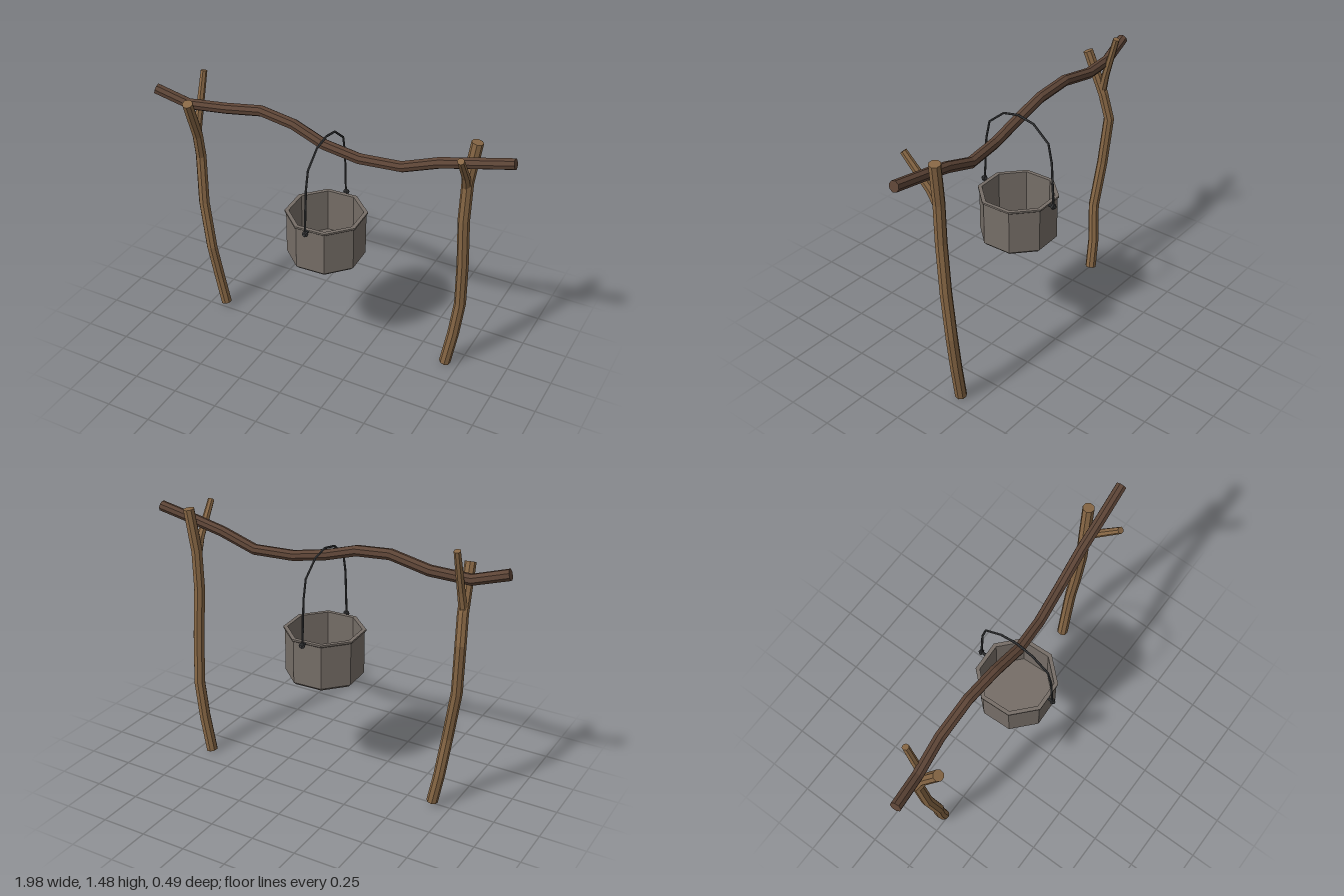
import * as THREE from 'three';

const mat = (name, color) => {
  const m = new THREE.MeshStandardMaterial({ color });
  m.name = name;
  m.flatShading = true;
  return m;
};

// Capped, faceted sweep along a polyline, tapering from r0 to r1
function sweep(points, r0, r1, sides) {
  const pts = points.map(p => new THREE.Vector3(...p));
  const n = pts.length, pos = [], idx = [];
  const dirs = pts.map((p, i) => {
    const a = pts[Math.max(i - 1, 0)], b = pts[Math.min(i + 1, n - 1)];
    return b.clone().sub(a).normalize();
  });
  const u = new THREE.Vector3(0.3, 0.2, 1);
  if (Math.abs(dirs[0].z) > 0.8) u.set(1, 0, 0);
  pts.forEach((p, i) => {
    u.addScaledVector(dirs[i], -u.dot(dirs[i])).normalize();
    const v = new THREE.Vector3().crossVectors(dirs[i], u);
    const r = r0 + (r1 - r0) * i / (n - 1);
    for (let s = 0; s < sides; s++) {
      const a = s / sides * Math.PI * 2;
      const q = p.clone().addScaledVector(u, Math.cos(a) * r).addScaledVector(v, Math.sin(a) * r);
      pos.push(q.x, q.y, q.z);
    }
  });
  for (let i = 0; i < n - 1; i++) {
    for (let s = 0; s < sides; s++) {
      const a = i * sides + s, b = i * sides + (s + 1) % sides;
      idx.push(a, b, a + sides, b, b + sides, a + sides);
    }
  }
  const last = (n - 1) * sides;
  for (let s = 1; s < sides - 1; s++) {
    idx.push(0, s + 1, s, last, last + s, last + s + 1);
  }
  const g = new THREE.BufferGeometry();
  g.setAttribute('position', new THREE.Float32BufferAttribute(pos, 3));
  g.setIndex(idx);
  const flat = g.toNonIndexed();
  flat.computeVertexNormals();
  return flat;
}

export function createModel() {
  const model = new THREE.Group();
  model.name = 'campfirePotStand';
  const bark = mat('light wood', 0x876745);
  const darkBark = mat('dark wood', 0x5c4436);
  const iron = mat('pot metal', 0x766e67);
  const wire = mat('dark iron', 0x3d3e40);

  const add = (name, geometry, material, parent = model) => {
    const m = new THREE.Mesh(geometry, material);
    m.name = name;
    parent.add(m);
    return m;
  };

  // Forked posts: a crooked trunk with a short prong each
  add('rightPost', sweep([
    [-0.655, 0.03, -0.02], [-0.685, 0.2, -0.012], [-0.71, 0.42, 0.012], [-0.755, 0.7, -0.005],
    [-0.77, 0.98, -0.026], [-0.757, 1.13, 0.012], [-0.74, 1.365, 0.11]
  ], 0.031, 0.029, 8), bark);
  add('rightPostProng', sweep([
    [-0.757, 1.14, 0.02], [-0.75, 1.25, -0.005], [-0.745, 1.48, -0.067]
  ], 0.025, 0.018, 7), bark);
  add('leftPost', sweep([
    [0.675, 0.008, -0.145], [0.71, 0.22, -0.15], [0.735, 0.43, -0.15], [0.74, 0.7, -0.128],
    [0.735, 0.98, -0.107], [0.74, 1.2, -0.108], [0.77, 1.43, -0.12]
  ], 0.032, 0.031, 8), bark);
  add('leftPostProng', sweep([
    [0.737, 1.18, -0.105], [0.745, 1.26, -0.06], [0.765, 1.425, 0.077]
  ], 0.026, 0.018, 7), bark);

  // Crooked crossbar
  add('crossbar', sweep([
    [-0.975, 1.368, 0.045], [-0.79, 1.312, 0.02], [-0.58, 1.325, -0.008], [-0.365, 1.365, -0.006],
    [-0.17, 1.342, 0.004], [0.01, 1.28, 0.015], [0.2, 1.242, 0.0], [0.42, 1.242, -0.03],
    [0.61, 1.31, -0.045], [0.78, 1.35, -0.055], [0.985, 1.395, -0.07]
  ], 0.03, 0.029, 8), darkBark);

  // Open eight-sided pot with a bevelled base and a thin rim
  const potGroup = new THREE.Group();
  potGroup.name = 'pot';
  potGroup.position.x = 0.014;
  model.add(potGroup);
  const profile = [
    [0, 0.605], [0.195, 0.605], [0.21, 0.62], [0.21, 0.858], [0.218, 0.864],
    [0.218, 0.874], [0.196, 0.874], [0.196, 0.63], [0, 0.63]
  ].map(p => new THREE.Vector2(...p));
  const potShape = new THREE.LatheGeometry(profile, 8, THREE.MathUtils.degToRad(25)).toNonIndexed();
  potShape.computeVertexNormals();
  add('potBody', potShape, iron, potGroup);

  // Bail handle looped over the crossbar
  const half = [[0.228, 0.868], [0.213, 1.115], [0.19, 1.22], [0.095, 1.3]];
  const path = [
    ...half.map(([z, y]) => [-0.002, y, z]), [0, 1.32, 0],
    ...half.slice().reverse().map(([z, y]) => [-0.002, y, -z])
  ];
  add('handle', sweep(path, 0.006, 0.006, 6), wire, potGroup);

  // Handle pivots on both sides of the rim
  for (const side of [1, -1]) {
    const pin = add('handlePin', new THREE.CylinderGeometry(0.008, 0.008, 0.05, 8), wire, potGroup);
    pin.rotation.x = Math.PI / 2;
    pin.position.set(0, 0.866, side * 0.218);
    const eye = add('handleEye', new THREE.CylinderGeometry(0.016, 0.016, 0.012, 8), wire, potGroup);
    eye.rotation.x = Math.PI / 2;
    eye.position.set(0, 0.866, side * 0.229);
  }
  return model;
}
